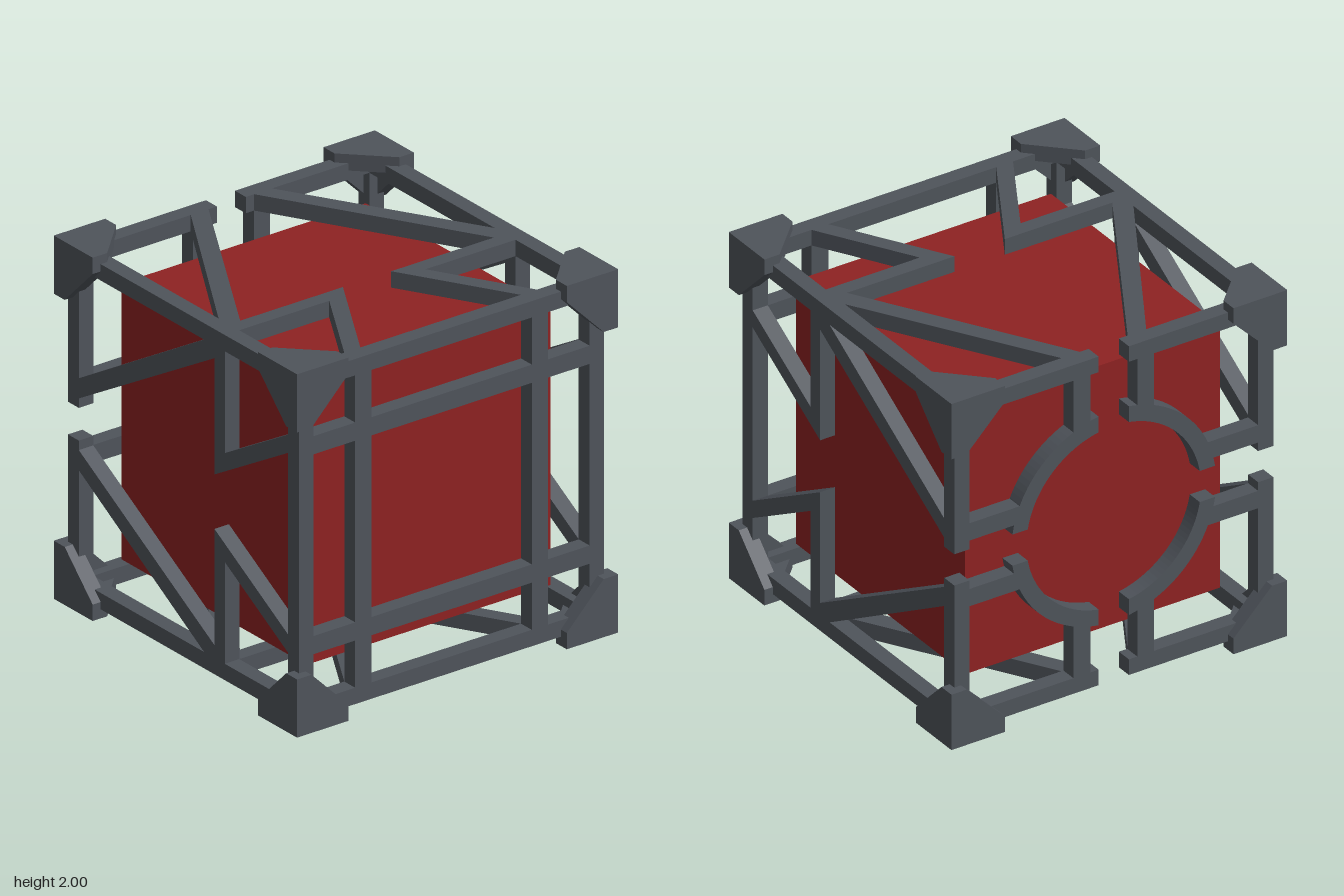
import * as THREE from 'three';
import { ConvexGeometry } from 'three/addons/geometries/ConvexGeometry.js';

const IN = 0.86, OUT = 0.95, T = OUT - IN, MID = (IN + OUT) / 2; // frame layer
const GAP = 0.09; // half gap in the back rails

export function createModel() {
  const model = new THREE.Group();
  model.name = 'framedCube';
  const red = new THREE.MeshStandardMaterial({ color: 0x8e2222 });
  red.name = 'deep red';
  const grey = new THREE.MeshStandardMaterial({ color: 0x4f545b });
  grey.name = 'slate grey';

  // Everything is built around the cube centre, then lifted by 1
  const body = new THREE.Group();
  body.name = 'body';
  body.position.y = 1;
  model.add(body);

  const add = (name, geometry, material = grey) => {
    const mesh = new THREE.Mesh(geometry, material);
    mesh.name = name;
    body.add(mesh);
  };
  const box = (name, x0, x1, y0, y1, z0, z1, material) => {
    const g = new THREE.BoxGeometry(Math.abs(x1 - x0), Math.abs(y1 - y0), Math.abs(z1 - z0));
    g.translate((x0 + x1) / 2, (y0 + y1) / 2, (z0 + z1) / 2);
    add(name, g, material);
  };
  const slab = (shape) =>
    new THREE.ExtrudeGeometry(shape, { depth: T, bevelEnabled: false, curveSegments: 12 }).translate(0, 0, IN);

  // Inner cube
  box('innerCube', -0.76, 0.76, -0.76, 0.76, -0.76, 0.76, red);

  const signs = [-1, 1];
  for (const s of signs) {
    for (const t of signs) {
      // Rails running front to back
      box('sideRail', s * IN, s * OUT, t * IN, t * OUT, -OUT, OUT);
      // Back rails and posts, split in the middle
      box('backRail', s * GAP, s * OUT, t * IN, t * OUT, -OUT, -IN);
      box('backPost', t * IN, t * OUT, s * GAP, s * OUT, -OUT, -IN);
      // Stubs holding the back ring
      box('ringStubUpright', s * 0.14, s * 0.24, t * 0.53, t * IN, -OUT, -IN);
      box('ringStubLevel', t * 0.53, t * IN, s * 0.14, s * 0.24, -OUT, -IN);
    }
    // Front rails, posts and crossing bars
    box('frontRail', -OUT, OUT, s * IN, s * OUT, IN, OUT);
    box('frontPost', s * IN, s * OUT, -OUT, OUT, IN, OUT);
    box('frontBarUpright', s * 0.5, s * 0.6, -IN, IN, IN, OUT);
    box('frontBarLevel', -IN, IN, s * 0.5, s * 0.6, IN, OUT);
  }

  // Back ring in four arcs with straight gaps between them
  const rOut = 0.61, rIn = 0.52;
  const aOut = Math.asin(GAP / rOut), aIn = Math.asin(GAP / rIn);
  for (let k = 0; k < 4; k++) {
    const arc = new THREE.Shape();
    arc.absarc(0, 0, rOut, aOut, Math.PI / 2 - aOut, false);
    arc.absarc(0, 0, rIn, Math.PI / 2 - aIn, aIn, true);
    add('backRingArc', slab(arc).rotateY(Math.PI).rotateZ((k * Math.PI) / 2));
  }

  // Arrow-like struts on the top, bottom and both sides: [across, depth]
  const strut = [[0.86, 0.17], [0.86, 0.34], [0.3, 0.34], [0.6, 0.86], [0.5, 0.86],
    [0.15, 0.255], [0.79, 0.255], [0.09, -0.95], [0.2, -0.95]];
  for (let k = 0; k < 4; k++) {
    for (const s of signs) {
      const shape = new THREE.Shape(strut.map(([a, d]) => new THREE.Vector2(s * a, -d)));
      add('arrowStrut', slab(shape).rotateX(-Math.PI / 2).rotateZ((k * Math.PI) / 2));
    }
  }

  // Corner caps: three clipped plates meeting at each corner
  const clipped = [[1, 1], [0.68, 1], [0.68, 0.91], [0.91, 0.68], [1, 0.68]];
  for (const sx of signs) for (const sy of signs) for (const sz of signs) {
    for (let axis = 0; axis < 3; axis++) {
      const points = [];
      for (const [u, v] of clipped) for (const w of [0.91, 1]) {
        const p = [0, 0, 0];
        p[axis] = w;
        p[(axis + 1) % 3] = u;
        p[(axis + 2) % 3] = v;
        points.push(new THREE.Vector3(sx * p[0], sy * p[1], sz * p[2]));
      }
      add('cornerPlate', new ConvexGeometry(points));
    }
  }

  return model;
}
